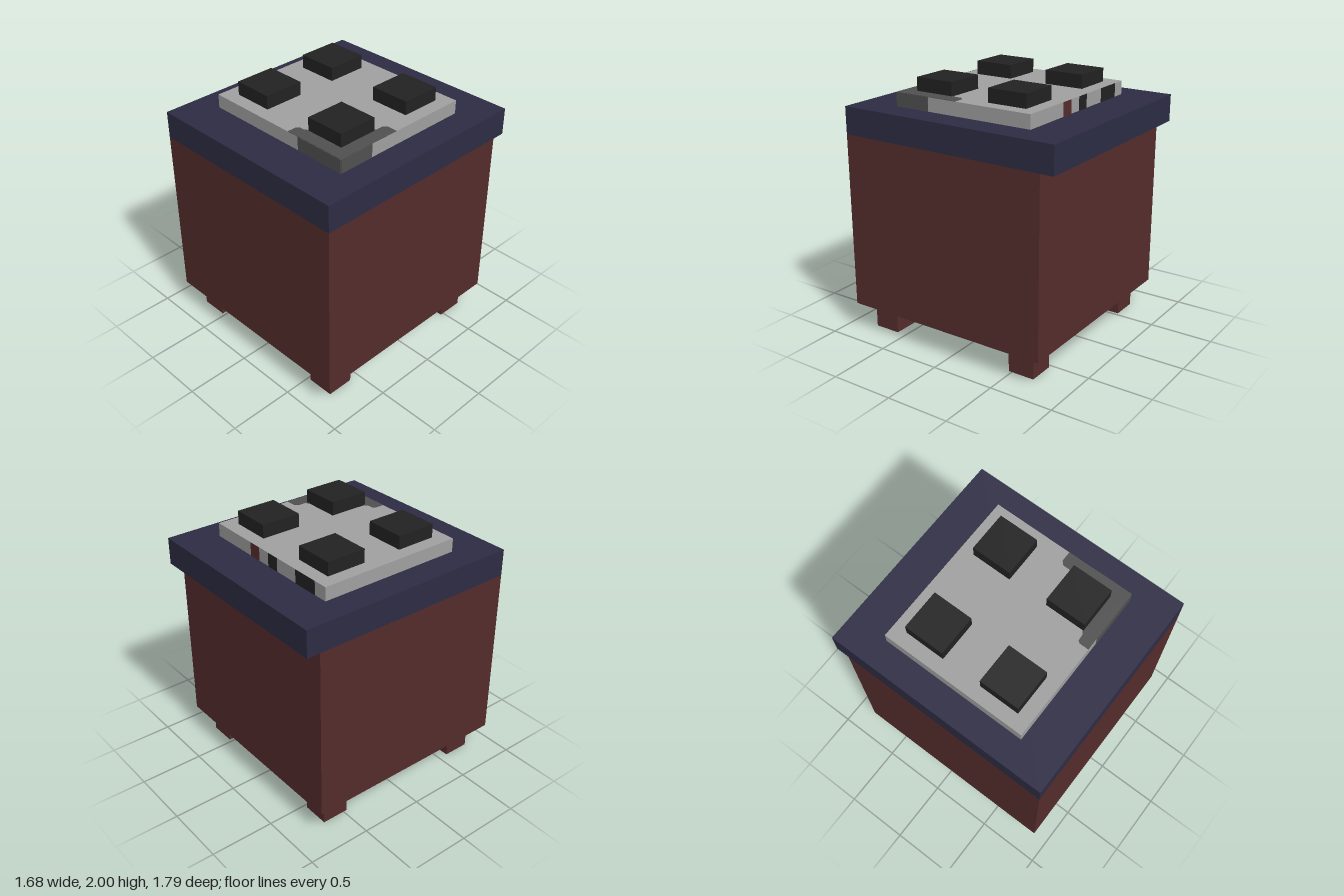
import * as THREE from 'three';

const material = (name, color) => {
  const m = new THREE.MeshStandardMaterial({ color });
  m.name = name;
  return m;
};

export function createModel() {
  const model = new THREE.Group();
  model.name = 'stove';

  const brown = material('dark red brown', 0x552c2c);
  const navy = material('navy', 0x2d2c44);
  const grey = material('light grey', 0xa0a0a0);
  const soot = material('dark grey', 0x505050);
  const black = material('black', 0x222222);

  // Box given by its lower and upper corner
  const block = (name, mat, [x0, y0, z0], [x1, y1, z1]) => {
    const mesh = new THREE.Mesh(new THREE.BoxGeometry(x1 - x0, y1 - y0, z1 - z0), mat);
    mesh.position.set((x0 + x1) / 2, (y0 + y1) / 2, (z0 + z1) / 2);
    mesh.name = name;
    model.add(mesh);
  };

  const u = 2 / 19; // block unit
  const thin = 0.003;
  const plateLow = 17 * u, plateHigh = 18 * u;
  const plateX = 6 * u, plateZ = 5.5 * u;

  // Body and overhanging worktop
  block('body', brown, [-8 * u, 2 * u, -7.5 * u], [8 * u, 15 * u, 8.5 * u]);
  block('worktop', navy, [-8 * u, 15 * u, -8.5 * u], [8 * u, plateLow, 8.5 * u]);

  // Hob plate
  block('hobPlate', grey, [-plateX, plateLow, -plateZ], [plateX, plateHigh, plateZ]);

  // Feet and burners, one of each per corner
  for (const x of [-1, 1]) {
    for (const z of [-1, 1]) {
      const fx = x * 6 * u, fz = (0.5 + z * 6) * u;
      block('foot', brown, [fx - u, 0, fz - u], [fx + u, 2 * u, fz + u]);
      const bx = x * 3.5 * u, bz = z * 3 * u;
      block('burner', black, [bx - 1.5 * u, plateHigh, bz - 1.5 * u], [bx + 1.5 * u, 2, bz + 1.5 * u]);
    }
  }

  // Dark patch on the front left corner of the plate: top, front and side
  const outline = [
    [0.12, plateZ], [0.12, 0.505], [0.135, 0.488], [0.18, 0.485], [0.21, 0.465],
    [0.5, 0.155], [0.524, 0.14], [0.524, 0.075], [0.55, 0.05], [plateX, 0.05], [plateX, plateZ],
  ];
  const shape = new THREE.Shape(outline.map(([x, z]) => new THREE.Vector2(x, -z)));
  const patch = new THREE.Mesh(
    new THREE.ExtrudeGeometry(shape, { depth: thin, bevelEnabled: false }).rotateX(-Math.PI / 2), soot);
  patch.position.y = plateHigh;
  patch.name = 'patchTop';
  model.add(patch);
  block('patchFront', soot, [0.22, plateLow, plateZ], [plateX, plateHigh, plateZ + thin]);
  block('patchSide', soot, [plateX, plateLow, 0.29], [plateX + thin, plateHigh, plateZ]);

  // Coloured marks on the back edge of the plate
  for (const [x0, x1, mat] of [[0.115, 0.217, brown], [-0.097, 0.005, black], [-0.52, -0.31, black]]) {
    block('backMark', mat, [x0, plateLow, -plateZ - thin], [x1, plateHigh, -plateZ]);
  }

  return model;
}
